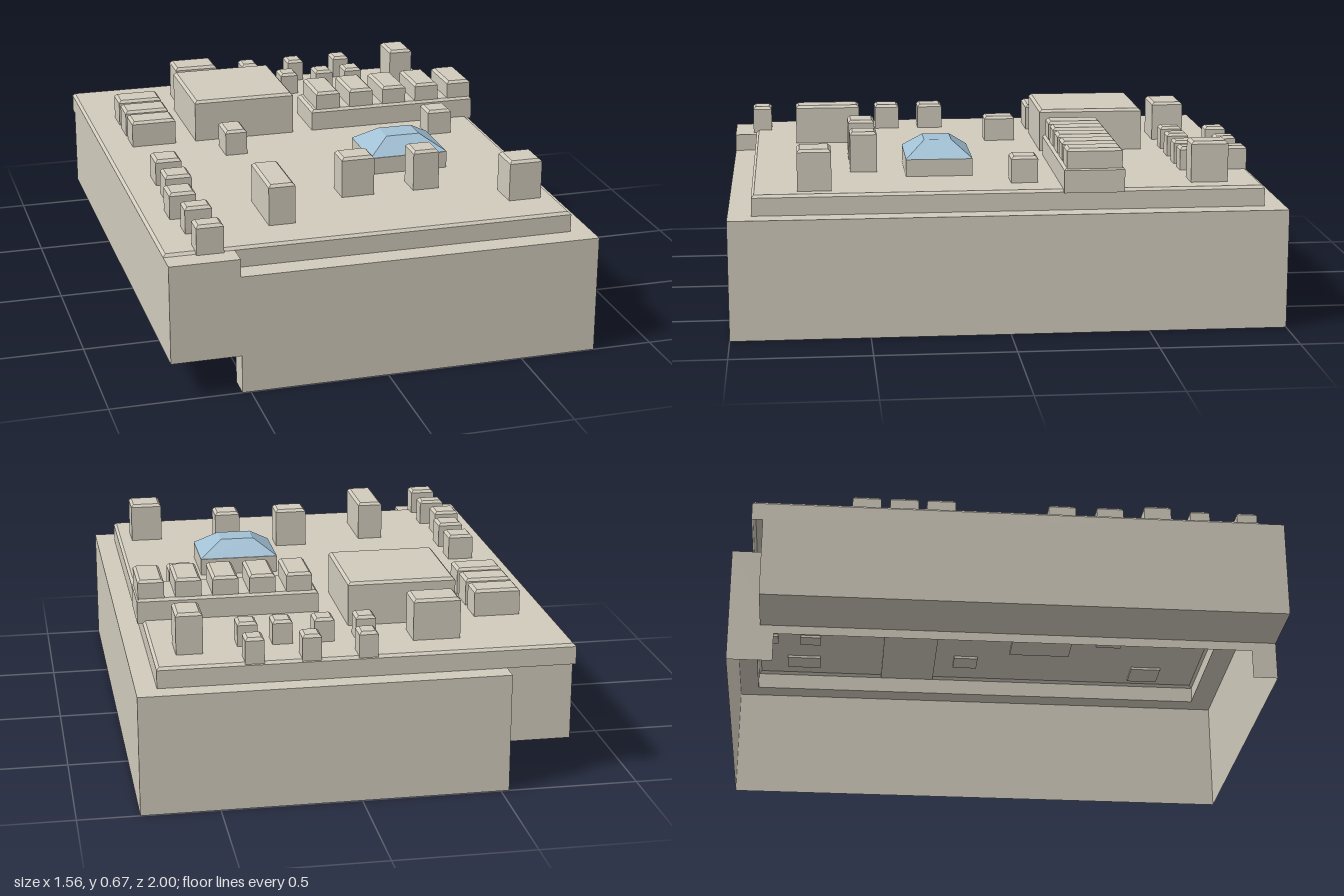
import * as THREE from 'three';

const concrete = new THREE.MeshStandardMaterial({ color: 0xd1cbbd, side: THREE.DoubleSide });
concrete.name = 'warm grey concrete';
const glass = new THREE.MeshStandardMaterial({ color: 0xa2c1d5, side: THREE.DoubleSide });
glass.name = 'pale blue glass';
const darkGlass = new THREE.MeshStandardMaterial({ color: 0x6c7f96 });
darkGlass.name = 'dark blue glass';

// Lofts rectangles [x0, x1, z0, z1, y] from bottom to top, flat shaded.
// Sides run front, right, back, left; fewer sides leave the last ones open.
function loft(rings, capTop = true, capBottom = false, sides = 4) {
  const pos = [];
  const corners = ([x0, x1, z0, z1, y]) => [[x0, y, z1], [x1, y, z1], [x1, y, z0], [x0, y, z0]];
  const quad = (a, b, c, d) => pos.push(...a, ...b, ...c, ...a, ...c, ...d);
  const loops = rings.map(corners);
  for (let r = 0; r < loops.length - 1; r++) {
    for (let i = 0; i < sides; i++) {
      const j = (i + 1) % 4;
      quad(loops[r][i], loops[r][j], loops[r + 1][j], loops[r + 1][i]);
    }
  }
  if (capTop) quad(...loops[loops.length - 1]);
  if (capBottom) quad(...[...loops[0]].reverse());
  const geo = new THREE.BufferGeometry();
  geo.setAttribute('position', new THREE.Float32BufferAttribute(pos, 3));
  geo.computeVertexNormals();
  return geo;
}

// Box with a small chamfer round its top edge
function chamferBox(x0, x1, z0, z1, y0, y1, closed = true, b = 0.01) {
  return loft([
    [x0, x1, z0, z1, y0],
    [x0, x1, z0, z1, y1 - b],
    [x0 + b, x1 - b, z0 + b, z1 - b, y1],
  ], true, closed);
}

export function createModel() {
  const model = new THREE.Group();
  model.name = 'building';
  const add = (name, geo, mat = concrete, parent = model) => {
    const mesh = new THREE.Mesh(geo, mat);
    mesh.name = name;
    parent.add(mesh);
  };

  // Hollow main block with a narrow ledge round the raised roof
  add('mainWalls', loft([
    [-0.53, 0.78, -1, 1, 0],
    [-0.53, 0.78, -1, 1, 0.435],
    [-0.53, 0.7, -0.925, 0.91, 0.435],
  ], false, false, 3));

  // Side wall with a long opening at its foot, drawn in z and y
  const outline = [[-1, 0], [-0.835, 0], [-0.835, 0.107], [0.91, 0.107], [0.91, 0], [1, 0], [1, 0.435], [-1, 0.435]];
  const sideWall = new THREE.ShapeGeometry(new THREE.Shape(outline.map(([z, y]) => new THREE.Vector2(z, y))));
  sideWall.rotateY(-Math.PI / 2).translate(-0.53, 0, 0);
  add('sideWall', sideWall);

  // Glazing in the opening, facing the hollow inside
  const strip = new THREE.PlaneGeometry(1.745, 0.107);
  strip.rotateY(Math.PI / 2).translate(-0.53, 0.0535, 0.0375);
  add('groundFloorGlazing', strip, darkGlass);

  // Overhanging upper storey along one side
  add('overhang', loft([
    [-0.78, -0.53, -0.885, 1, 0.14],
    [-0.78, -0.53, -0.885, 1, 0.5],
  ], true, true));

  // Raised roof, open below
  add('roof', chamferBox(-0.78, 0.705, -0.925, 0.915, 0.435, 0.51, false));

  // Skylight: solid curb and hipped glass
  add('skylightCurb', loft([
    [0.13, 0.428, 0.108, 0.353, 0.5],
    [0.13, 0.428, 0.108, 0.353, 0.573],
  ], true, true));
  add('skylightGlass', loft([
    [0.13, 0.428, 0.108, 0.353, 0.574],
    [0.213, 0.341, 0.18, 0.281, 0.63],
  ]), glass);

  // Rooftop units: x0, x1, z0, z1, top
  const units = new THREE.Group();
  units.name = 'rooftopUnits';
  model.add(units);
  const unit = (name, x0, x1, z0, z1, top, base = 0.5) =>
    add(name, chamferBox(x0, x1, z0, z1, base, top), concrete, units);

  unit('plantRoom', -0.417, -0.022, -0.592, -0.193, 0.672);

  // Long plinth with five cooling units
  unit('coolerPlinth', 0.056, 0.724, -0.413, -0.195, 0.592);
  for (let i = 0; i < 5; i++) {
    const x = 0.077 + i * 0.1365;
    unit('cooler', x, x + 0.096, -0.404, -0.204, 0.66, 0.585);
  }

  // Three wide vents
  for (const z of [-0.567, -0.43, -0.295]) unit('wideVent', -0.667, -0.497, z, z + 0.105, 0.61);

  // Small vents along the overhang
  unit('sideVent', -0.667, -0.57, 0.152, 0.252, 0.607);
  unit('sideVent', -0.667, -0.57, 0.33, 0.428, 0.607);
  unit('sideVent', -0.69, -0.593, 0.502, 0.602, 0.607);
  unit('sideVent', -0.667, -0.57, 0.677, 0.75, 0.607);
  unit('sideVent', -0.667, -0.57, 0.852, 0.927, 0.607);

  // Two rows of small vents at the back
  for (const x of [-0.093, 0.056, 0.206, 0.331]) unit('smallVent', x, x + 0.072, -0.752, -0.67, 0.597);
  for (const x of [-0.068, 0.131, 0.331]) unit('smallVent', x, x + 0.068, -0.922, -0.843, 0.597);

  // Low vents in the middle
  unit('lowVent', -0.342, -0.258, -0.118, 0.002, 0.607);
  unit('lowVent', 0.481, 0.576, -0.118, -0.02, 0.607);

  // Tall units
  unit('tallUnit', -0.367, -0.27, 0.502, 0.752, 0.66);
  unit('tallUnit', -0.042, 0.08, 0.455, 0.555, 0.66);
  unit('tallUnit', 0.23, 0.328, 0.455, 0.555, 0.66);
  unit('tallUnit', 0.53, 0.652, 0.63, 0.752, 0.66);
  unit('tallUnit', -0.39, -0.22, -0.792, -0.67, 0.66);
  unit('tallUnit', 0.53, 0.625, -0.805, -0.67, 0.66);

  return model;
}
